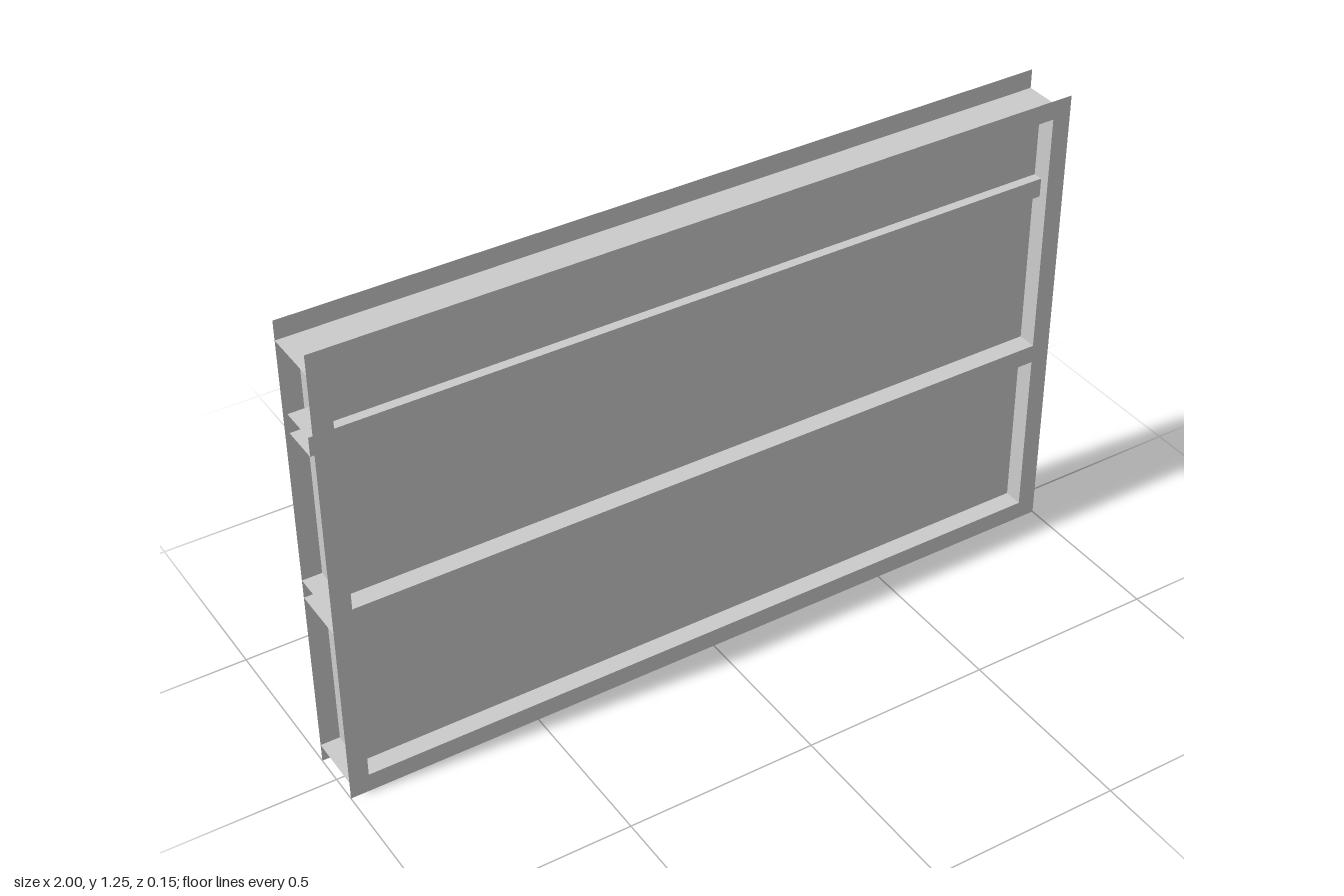
import * as THREE from 'three';

const material = new THREE.MeshStandardMaterial({ color: 0xcccccc, flatShading: true, side: THREE.DoubleSide });

const W = 1, H = 1.25, D = 0.075; // half width, height, half depth
const T = 0.05;                   // width of the frame members
const MID = 0.5;                  // underside of the middle beam
const IN = W - T;                 // half width of the openings

function add(parent, name, geometry, x = 0, y = 0, z = 0) {
  const mesh = new THREE.Mesh(geometry, material);
  mesh.name = name;
  mesh.position.set(x, y, z);
  parent.add(mesh);
}

// Thin sheets facing along z, y and x
const upright = (w, h) => new THREE.PlaneGeometry(w, h);
const level = (w, d) => new THREE.PlaneGeometry(w, d).rotateX(-Math.PI / 2);
const sideways = (d, h) => new THREE.PlaneGeometry(d, h).rotateY(Math.PI / 2);

function rectangle(Type, x, y0, y1) {
  return new Type([[-x, y0], [x, y0], [x, y1], [-x, y1]].map(([a, b]) => new THREE.Vector2(a, b)));
}

export function createModel() {
  const group = new THREE.Group();
  group.name = 'framedPanel';

  // Face frame with two openings, used front and back
  const face = rectangle(THREE.Shape, W, 0, H);
  face.holes.push(rectangle(THREE.Path, IN, T, MID), rectangle(THREE.Path, IN, MID + T, H - T));
  const faceGeometry = new THREE.ShapeGeometry(face);

  for (const s of [1, -1]) {
    const end = s > 0 ? 'front' : 'back';
    add(group, end + 'Frame', faceGeometry, 0, 0, s * D);

    // Recessed infill sheets
    add(group, end + 'LowerPanel', upright(2 * IN, MID - T), 0, (T + MID) / 2, s * 0.025);
    add(group, end + 'UpperPanel', upright(2 * IN, H - MID - 2 * T), 0, (MID + H) / 2, s * 0.025);

    // Faces of the hollow cross rail
    add(group, end + 'RailFace', upright(2 * W, T), 0, 1, s * 0.05);

    // Web of each side channel
    add(group, s > 0 ? 'leftWeb' : 'rightWeb', sideways(2 * D, H - T), s * IN, (H - T) / 2, 0);
  }

  // Webs of the bottom, middle and top members
  for (const [name, y] of [['bottomWeb', T], ['middleLowerWeb', MID], ['middleUpperWeb', MID + T], ['topWeb', H - T]]) {
    add(group, name, level(2 * W, 2 * D), 0, y, 0);
  }

  // Top and bottom of the hollow cross rail
  add(group, 'railTop', level(2 * W, 0.1), 0, 1 + T / 2, 0);
  add(group, 'railBottom', level(2 * W, 0.1), 0, 1 - T / 2, 0);

  return group;
}
